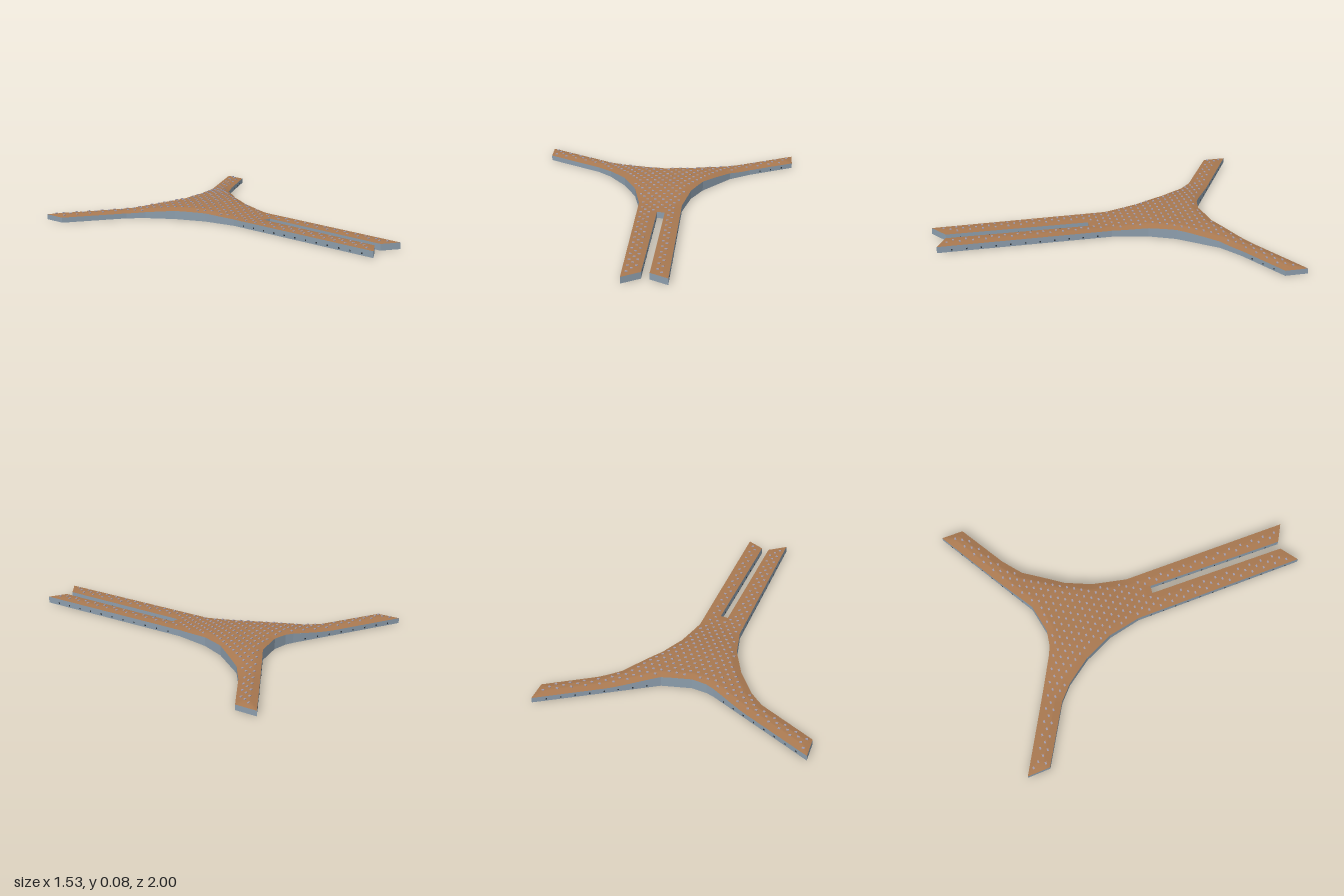
import * as THREE from 'three';
import { mergeGeometries, mergeVertices } from 'three/addons/utils/BufferGeometryUtils.js';

// Plan outline as [x, z], counterclockwise seen from above
const outline = [
  [-0.77, -0.82], [-0.75, -0.69], [-0.40, -0.54], [-0.31, -0.475], [-0.19, -0.345],
  [-0.09, -0.185], [-0.025, 0], [0.10, 0.995], [0.19, 0.915], [0.105, 0.115],
  [0.15, 0.115], [0.235, 0.915], [0.34, 0.96], [0.225, -0.01], [0.24, -0.215],
  [0.285, -0.365], [0.415, -0.59], [0.52, -0.69], [0.765, -0.875], [0.75, -1],
  [0.185, -0.58], [0.02, -0.53], [-0.07, -0.535], [-0.12, -0.55],
].map(([x, z]) => new THREE.Vector2(x, z));
const edges = outline.map((a, i) => [a, outline[(i + 1) % outline.length]]);

function edgeDistance(x, z) {
  let best = Infinity;
  for (const [a, b] of edges) {
    const dx = b.x - a.x, dz = b.y - a.y;
    const t = THREE.MathUtils.clamp(((x - a.x) * dx + (z - a.y) * dz) / (dx * dx + dz * dz), 0, 1);
    best = Math.min(best, Math.hypot(x - a.x - t * dx, z - a.y - t * dz));
  }
  return best;
}

function inside(x, z) {
  let hit = false;
  for (const [a, b] of edges) {
    if ((a.y > z) !== (b.y > z) && x < a.x + (b.x - a.x) * (z - a.y) / (b.y - a.y)) hit = !hit;
  }
  return hit;
}

// Roof height: low wings, a swelling over the hall, eaves rounded down
function roofHeight(x, z) {
  const { smoothstep } = THREE.MathUtils;
  const eave = 0.03 + 0.007 * smoothstep(z, -0.3, 0.1);
  const swell = 0.031 * (1 - smoothstep(Math.hypot(x - 0.08, z + 0.43), 0.12, 0.5));
  const rise = Math.min(1, edgeDistance(x, z) / 0.04);
  return eave + (0.041 - eave) * rise + swell;
}

function buildRoof() {
  let tris = THREE.ShapeUtils.triangulateShape(outline, []).map((f) => {
    const [a, b, c] = f.map((i) => outline[i]);
    const turn = (b.x - a.x) * (c.y - a.y) - (b.y - a.y) * (c.x - a.x);
    return turn < 0 ? [a, b, c] : [a, c, b];
  });
  const mid = (p, q) => new THREE.Vector2((p.x + q.x) / 2, (p.y + q.y) / 2);
  for (let level = 0; level < 5; level++) {
    tris = tris.flatMap(([a, b, c]) => {
      const ab = mid(a, b), bc = mid(b, c), ca = mid(c, a);
      return [[a, ab, ca], [ab, b, bc], [ca, bc, c], [ab, bc, ca]];
    });
  }
  const pos = tris.flat().flatMap((p) => [p.x, roofHeight(p.x, p.y), p.y]);
  let geo = new THREE.BufferGeometry();
  geo.setAttribute('position', new THREE.Float32BufferAttribute(pos, 3));
  geo = mergeVertices(geo, 1e-5);
  geo.computeVertexNormals();
  return geo;
}

// Walls follow the eaves, in short strips along each side
function buildWalls() {
  const pos = [];
  for (const [a, b] of edges) {
    const n = Math.ceil(a.distanceTo(b) / 0.03);
    for (let i = 0; i < n; i++) {
      const p = a.clone().lerp(b, i / n), q = a.clone().lerp(b, (i + 1) / n);
      const hp = roofHeight(p.x, p.y), hq = roofHeight(q.x, q.y);
      pos.push(p.x, 0, p.y, q.x, 0, q.y, q.x, hq, q.y);
      pos.push(p.x, 0, p.y, q.x, hq, q.y, p.x, hp, p.y);
    }
  }
  const geo = new THREE.BufferGeometry();
  geo.setAttribute('position', new THREE.Float32BufferAttribute(pos, 3));
  geo.computeVertexNormals();
  return geo;
}

// Small raised roof lights on a staggered grid aligned with the front wings
function buildSkylights() {
  const parts = [];
  const c = Math.cos(0.125), s = Math.sin(0.125);
  for (let row = -32; row <= 32; row++) {
    for (let col = -28; col <= 28; col++) {
      const u = (col + (row % 2 ? 0.5 : 0)) * 0.045, v = row * 0.036;
      const x = u * c + v * s, z = -u * s + v * c;
      if (!inside(x, z) || edgeDistance(x, z) < 0.022) continue;
      const box = new THREE.BoxGeometry(0.014, 0.005, 0.010);
      box.rotateY(0.125);
      box.translate(x, roofHeight(x, z) + 0.0012, z);
      parts.push(box);
    }
  }
  return mergeGeometries(parts);
}

// Little doors spaced along the long sides
function buildDoors() {
  const parts = [];
  for (const [a, b] of edges) {
    const length = a.distanceTo(b);
    if (length < 0.28 || b.x === -0.4) continue;
    const n = Math.round(length / 0.08);
    for (let i = 1; i < n; i++) {
      const p = a.clone().lerp(b, i / n);
      const door = new THREE.BoxGeometry(0.008, 0.008, 0.003);
      door.rotateY(Math.atan2(-(b.y - a.y), b.x - a.x));
      door.translate(p.x, 0.012, p.y);
      parts.push(door);
    }
  }
  return mergeGeometries(parts);
}

function material(name, color, options = {}) {
  const m = new THREE.MeshStandardMaterial({ color, ...options });
  m.name = name;
  return m;
}

export function createModel() {
  const group = new THREE.Group();
  group.name = 'terminalBuilding';
  const add = (name, geometry, mat) => {
    const mesh = new THREE.Mesh(geometry, mat);
    mesh.name = name;
    group.add(mesh);
  };
  add('roof', buildRoof(), material('bronzeRoof', 0xa87850, { side: THREE.DoubleSide }));
  add('walls', buildWalls(), material('blueGreyWall', 0x8c9dac, { side: THREE.DoubleSide }));
  add('skylights', buildSkylights(), material('paleSkylight', 0xa39cab));
  add('doors', buildDoors(), material('darkDoor', 0x2c333a));
  return group;
}
